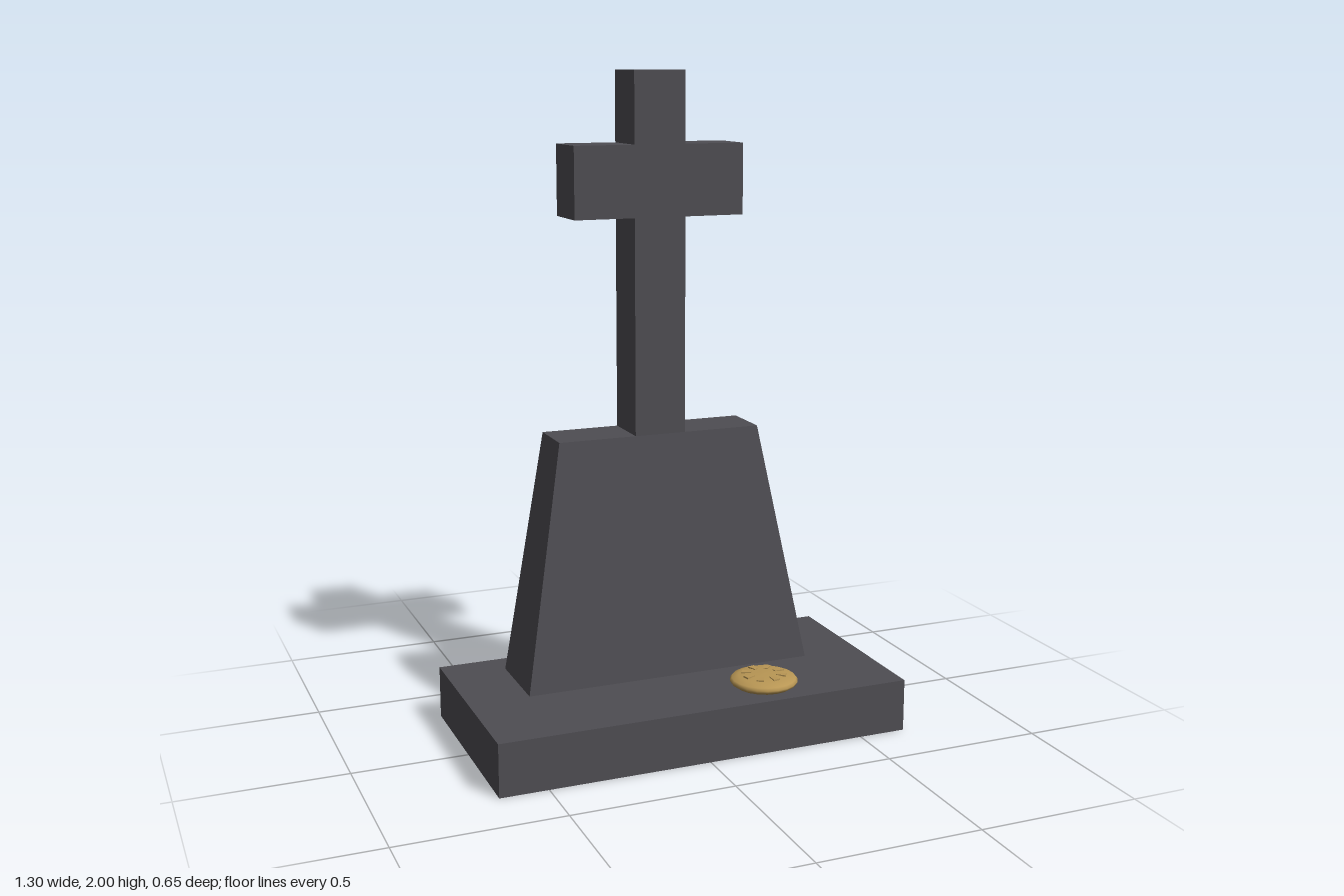
import * as THREE from 'three';

const stone = new THREE.MeshStandardMaterial({ color: 0x4e4d52 });
stone.name = 'darkStone';
const gold = new THREE.MeshStandardMaterial({ color: 0xb89654 });
gold.name = 'gold';

const BACK = -0.235, FRONT = -0.073; // shared depth of cross and plinth top
const BASE_TOP = 0.162, PLINTH_TOP = 0.91;

function add(parent, name, geometry, material) {
  const mesh = new THREE.Mesh(geometry, material);
  mesh.name = name;
  parent.add(mesh);
  return mesh;
}

// Box narrowed toward the top: sides lean in, front leans back, back stays upright
function plinthGeometry() {
  const g = new THREE.BoxGeometry(2, 1, 1).toNonIndexed();
  const p = g.attributes.position;
  for (let i = 0; i < p.count; i++) {
    const top = p.getY(i) > 0;
    const front = p.getZ(i) > 0;
    p.setXYZ(i, p.getX(i) * (top ? 0.325 : 0.46), top ? PLINTH_TOP : BASE_TOP,
      front ? (top ? FRONT : 0.018) : BACK);
  }
  g.computeVertexNormals();
  return g;
}

function crossGeometry() {
  const w = 0.081, a = 0.269, lo = 1.57, hi = 1.785;
  const half = [[w, PLINTH_TOP], [w, lo], [a, lo], [a, hi], [w, hi], [w, 2]];
  const mirrored = half.map(([x, y]) => [-x, y]).reverse();
  const shape = new THREE.Shape([...half, ...mirrored].map(([x, y]) => new THREE.Vector2(x, y)));
  const g = new THREE.ExtrudeGeometry(shape, { depth: FRONT - BACK, bevelEnabled: false });
  return g.translate(0, 0, BACK);
}

// Round offering with a ring of wedge marks on its top
function createDisc() {
  const disc = new THREE.Group();
  disc.name = 'offeringDisc';
  const profile = [[0, 0], [0.088, 0], [0.1, 0.008], [0.104, 0.016], [0.098, 0.024],
    [0.078, 0.032], [0.045, 0.035], [0, 0.036]].map(([r, y]) => new THREE.Vector2(r, y));
  add(disc, 'discBody', new THREE.LatheGeometry(profile, 20), gold);

  const wedge = new THREE.Shape([[0.038, -0.006], [0.068, -0.011], [0.068, 0.011], [0.038, 0.006]]
    .map(([x, y]) => new THREE.Vector2(x, y)));
  const wedgeGeo = new THREE.ExtrudeGeometry(wedge, { depth: 0.007, bevelEnabled: false });
  wedgeGeo.rotateX(-Math.PI / 2);
  for (let i = 0; i < 8; i++) {
    const mark = add(disc, 'discWedge', wedgeGeo, gold);
    mark.position.y = 0.0305;
    mark.rotation.y = 0.19 + i * Math.PI / 4;
  }
  disc.position.set(0.233, BASE_TOP, 0.19);
  return disc;
}

export function createModel() {
  const model = new THREE.Group();
  model.name = 'stoneCrossMonument';
  add(model, 'baseSlab', new THREE.BoxGeometry(1.296, BASE_TOP, 0.648), stone).position.y = BASE_TOP / 2;
  add(model, 'taperedPlinth', plinthGeometry(), stone);
  add(model, 'cross', crossGeometry(), stone);
  model.add(createDisc());
  return model;
}
